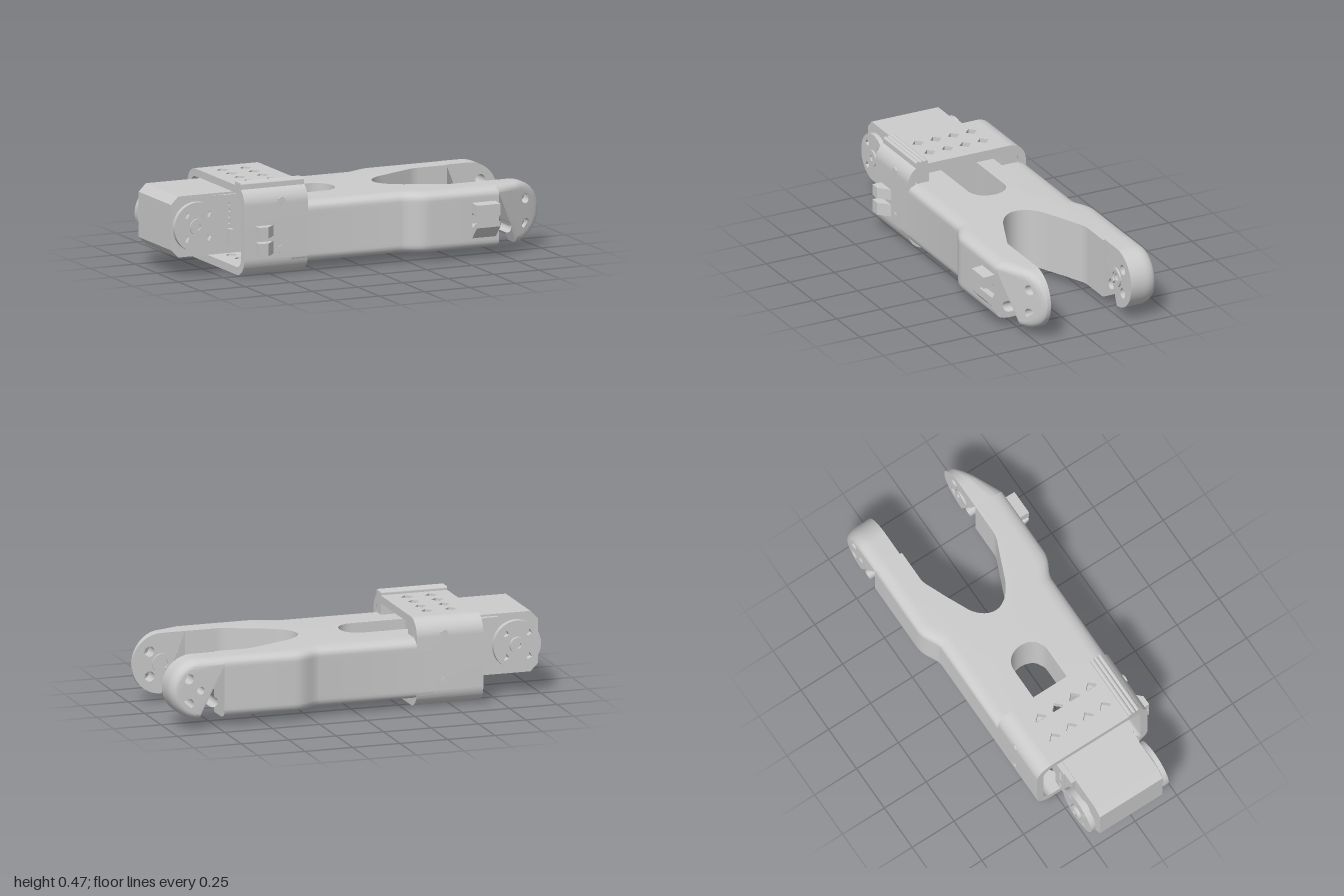
import * as THREE from 'three';
import { toCreasedNormals } from 'three/addons/utils/BufferGeometryUtils.js';

const MID_Z = -0.03, MID_Y = 0.205, ARM_R = 0.155;

export function createModel() {
  const root = new THREE.Group();
  const mat = new THREE.MeshStandardMaterial({ color: 0xcccccc });

  function add(name, geo, crease = 0.6) {
    const mesh = new THREE.Mesh(toCreasedNormals(geo, crease), mat);
    mesh.name = name;
    root.add(mesh);
    return mesh;
  }
  const poly = pts => new THREE.Shape(pts.map(p => new THREE.Vector2(...p)));
  const rect = (x0, y0, x1, y1) => poly([[x0, y0], [x1, y0], [x1, y1], [x0, y1]]);
  const ngon = (x, y, r, n, a = 0) => poly(Array.from({ length: n }, (_, i) =>
    [x + r * Math.cos(a + i * 2 * Math.PI / n), y + r * Math.sin(a + i * 2 * Math.PI / n)]));
  const extrude = (shape, depth, steps = 1) =>
    new THREE.ExtrudeGeometry(shape, { depth, steps, bevelEnabled: false, curveSegments: 20 });
  // Extrusions along each axis; profiles are (x,y), (x,-z) and (-z,y)
  const alongZ = (shape, z0, z1) => extrude(shape, z1 - z0).translate(0, 0, z0);
  const alongY = (shape, y0, y1) => extrude(shape, y1 - y0).rotateX(-Math.PI / 2).translate(0, y0, 0);
  const alongX = (shape, x0, x1) => extrude(shape, x1 - x0).rotateY(Math.PI / 2).translate(x0, 0, 0);
  const box = (name, x0, x1, y0, y1, z0, z1) => add(name,
    new THREE.BoxGeometry(x1 - x0, y1 - y0, z1 - z0).translate((x0 + x1) / 2, (y0 + y1) / 2, (z0 + z1) / 2));

  // Elliptical edge rounding: inset at a distance e from the face
  const inset = (e, amount, range) =>
    e >= range ? 0 : amount * (1 - Math.sqrt(Math.max(0, 1 - ((range - e) / range) ** 2)));
  const ease = t => (1 - Math.cos(Math.PI * t)) / 2;
  function reshape(geo, rule) {
    const p = geo.attributes.position;
    for (let i = 0; i < p.count; i++) p.setXYZ(i, ...rule(p.getX(i), p.getY(i), p.getZ(i)));
    return geo;
  }

  // Forked body: plan outline with outer edges rounded, inner edges crisp
  const body = new THREE.Shape();
  body.moveTo(-0.4, -0.33);
  body.lineTo(0.2, -0.33);
  body.bezierCurveTo(0.25, -0.335, 0.28, -0.38, 0.35, -0.38);
  body.lineTo(0.72, -0.38);
  body.lineTo(0.72, -0.22);
  body.lineTo(0.56, -0.22);
  body.quadraticCurveTo(0.53, -0.22, 0.5, -0.205);
  body.lineTo(0.32, -0.13);
  body.bezierCurveTo(0.17, -0.06, 0.17, 0.06, 0.32, 0.13);
  body.lineTo(0.5, 0.205);
  body.quadraticCurveTo(0.53, 0.22, 0.56, 0.22);
  body.lineTo(0.72, 0.22);
  body.lineTo(0.72, 0.38);
  body.lineTo(0.35, 0.38);
  body.bezierCurveTo(0.28, 0.38, 0.25, 0.335, 0.2, 0.33);
  body.lineTo(-0.4, 0.33);
  body.lineTo(-0.4, 0.1);
  body.lineTo(-0.11, 0.1);
  body.bezierCurveTo(0.015, 0.1, 0.015, -0.1, -0.11, -0.1);
  body.lineTo(-0.4, -0.1);
  add('forkBody', reshape(extrude(body, 1, 20), (x, y, z) => {
    const t = ease(z), h = 2 * ARM_R;
    const cut = Math.abs(y) > 0.3 ? inset(Math.min(t, 1 - t) * h, 0.07, 0.035) : 0;
    return [x, MID_Y - ARM_R + t * h, MID_Z - Math.sign(y) * (Math.abs(y) - cut)];
  }));

  // Rounded arm tips with screw holes
  function tipShape(centreHole) {
    const s = new THREE.Shape();
    s.moveTo(0.72, MID_Y - ARM_R);
    s.absarc(0.845, MID_Y, ARM_R, -Math.PI / 2, Math.PI / 2);
    s.lineTo(0.72, MID_Y + ARM_R);
    for (const dx of [-0.063, 0.063]) for (const dy of [-0.064, 0.064])
      s.holes.push(ngon(0.845 + dx, MID_Y + dy, 0.027, 12));
    if (centreHole) s.holes.push(ngon(0.845, MID_Y, 0.02, 12));
    return s;
  }
  function armTip(name, shape, roundStart, place) {
    add(name, reshape(extrude(shape, 1, 16), (x, y, z) => {
      const t = ease(z), ax = Math.min(x, 0.845);
      const d = Math.hypot(x - ax, y - MID_Y);
      const k = d > 0.14 ? (d - inset((roundStart ? t : 1 - t) * 0.16, 0.035, 0.07)) / d : 1;
      const nx = ax + (x - ax) * k;
      return [nx, MID_Y + (y - MID_Y) * k, place(t, nx)];
    }));
  }
  armTip('rearArmTip', tipShape(true), true, t => -0.41 + t * 0.148);
  armTip('frontArmTip', tipShape(false), false, (t, x) => 0.19 + t * 0.16 * (1 - 0.82 * (x - 0.72) / 0.28));

  // Horseshoe seats on the inner faces of the tips
  const seat = new THREE.Shape();
  seat.absarc(0.845, MID_Y, 0.05, -1, Math.PI + 1);
  seat.absarc(0.845, MID_Y, 0.03, Math.PI + 1, -1, true);
  add('rearSeat', alongZ(seat, -0.265, -0.252));
  add('frontSeat', alongZ(seat, 0.18, 0.192));

  // Cable clips on the front arm
  const clip = pts => alongX(poly(pts.map(([z, y]) => [-z, y])), 0.57, 0.7);
  add('upperCableClip', clip([[0.34, 0.215], [0.362, 0.24], [0.385, 0.225], [0.41, 0.225], [0.41, 0.285], [0.34, 0.29]]));
  add('lowerCableClip', clip([[0.34, 0.2], [0.362, 0.165], [0.385, 0.18], [0.41, 0.198], [0.41, 0.17], [0.355, 0.11], [0.34, 0.11]]));

  // Bracket: perforated top and bottom plates joined by curved side walls
  const plate = rect(-0.66, -0.21, -0.31, 0.27);
  for (const x of [-0.55, -0.425]) for (const z of [-0.18, -0.08, 0.02, 0.12])
    plate.holes.push(ngon(x, -z, 0.032, 4));
  add('bracketTop', alongY(plate, 0.418, 0.458));
  add('bracketBottom', alongY(plate, 0.005, 0.045));
  const wall = new THREE.Shape();
  wall.absarc(0.24, 0.368, 0.09, Math.PI / 2, 0, true);
  wall.absarc(0.24, 0.095, 0.09, 0, -Math.PI / 2, true);
  wall.absarc(0.24, 0.095, 0.05, -Math.PI / 2, 0);
  wall.absarc(0.24, 0.368, 0.05, 0, Math.PI / 2);
  for (const side of [-1, 1]) {
    const geo = alongX(wall, -0.66, -0.31);
    if (side > 0) geo.rotateX(Math.PI).translate(0, 0.463, 0);
    add(side > 0 ? 'bracketFrontWall' : 'bracketRearWall', geo.translate(0, 0, MID_Z));
    // Screws on the wall
    for (const y of [0.135, 0.38]) {
      const screw = add('bracketScrew', new THREE.CylinderGeometry(0.022, 0.022, 0.02, 6).rotateX(Math.PI / 2));
      screw.position.set(-0.455, y, MID_Z + side * 0.324);
    }
  }
  box('frontFiller', -0.62, -0.31, 0.35, 0.44, 0.185, 0.25);
  box('rearFiller', -0.62, -0.31, 0.35, 0.43, -0.31, -0.225);

  // Grip ridges on the bracket top
  for (const z of [0.202, 0.224, 0.246])
    add('gripRidge', new THREE.CylinderGeometry(0.012, 0.012, 0.35, 12).rotateZ(Math.PI / 2).translate(-0.485, 0.466, z));
  box('ridgeBase', -0.66, -0.31, 0.44, 0.466, 0.19, 0.258);

  // Wedge hooks on the bracket front
  const hook = poly([[-0.6, -0.29], [-0.6, -0.35], [-0.55, -0.35], [-0.49, -0.29]]);
  for (const [y0, y1] of [[0.115, 0.18], [0.205, 0.262]]) add('bracketHook', alongY(hook, y0, y1));

  // Motor body with chamfered end, and its side flanges
  add('motorBody', alongZ(poly([[-1, 0.15], [-0.96, 0.11], [-0.42, 0.11], [-0.42, 0.42], [-0.96, 0.42], [-1, 0.38]]), -0.21, 0.165));
  const flange = rect(-0.72, 0.14, -0.645, 0.41);
  for (const y of [0.17, 0.2, 0.27, 0.3, 0.33, 0.36]) flange.holes.push(ngon(-0.69, y, 0.01, 8));
  add('frontFlange', alongZ(flange, 0.165, 0.18));
  add('rearFlange', alongZ(flange, -0.24, -0.21));
  box('rearMotorPad', -0.78, -0.645, 0.12, 0.41, -0.235, -0.21);
  box('frontMotorPad', -0.78, -0.645, 0.12, 0.41, 0.16, 0.172);
  box('cablePlug', -0.7, -0.68, 0.16, 0.24, 0.17, 0.22);

  // Motor horns with square screw holes and a central hub
  const horn = ngon(-0.873, 0.265, 0.125, 40);
  for (let i = 0; i < 4; i++) {
    const a = Math.PI / 4 + i * Math.PI / 2;
    horn.holes.push(ngon(-0.873 + 0.085 * Math.cos(a), 0.265 + 0.085 * Math.sin(a), 0.018, 4, 0.3));
  }
  const hub = ngon(-0.873, 0.265, 0.042, 24);
  hub.holes.push(ngon(-0.873, 0.265, 0.016, 8));
  add('frontHorn', alongZ(horn, 0.178, 0.203));
  add('frontHub', alongZ(hub, 0.16, 0.212));
  add('rearHorn', alongZ(horn, -0.262, -0.232));
  add('rearHub', alongZ(hub, -0.28, -0.2));

  return root;
}
